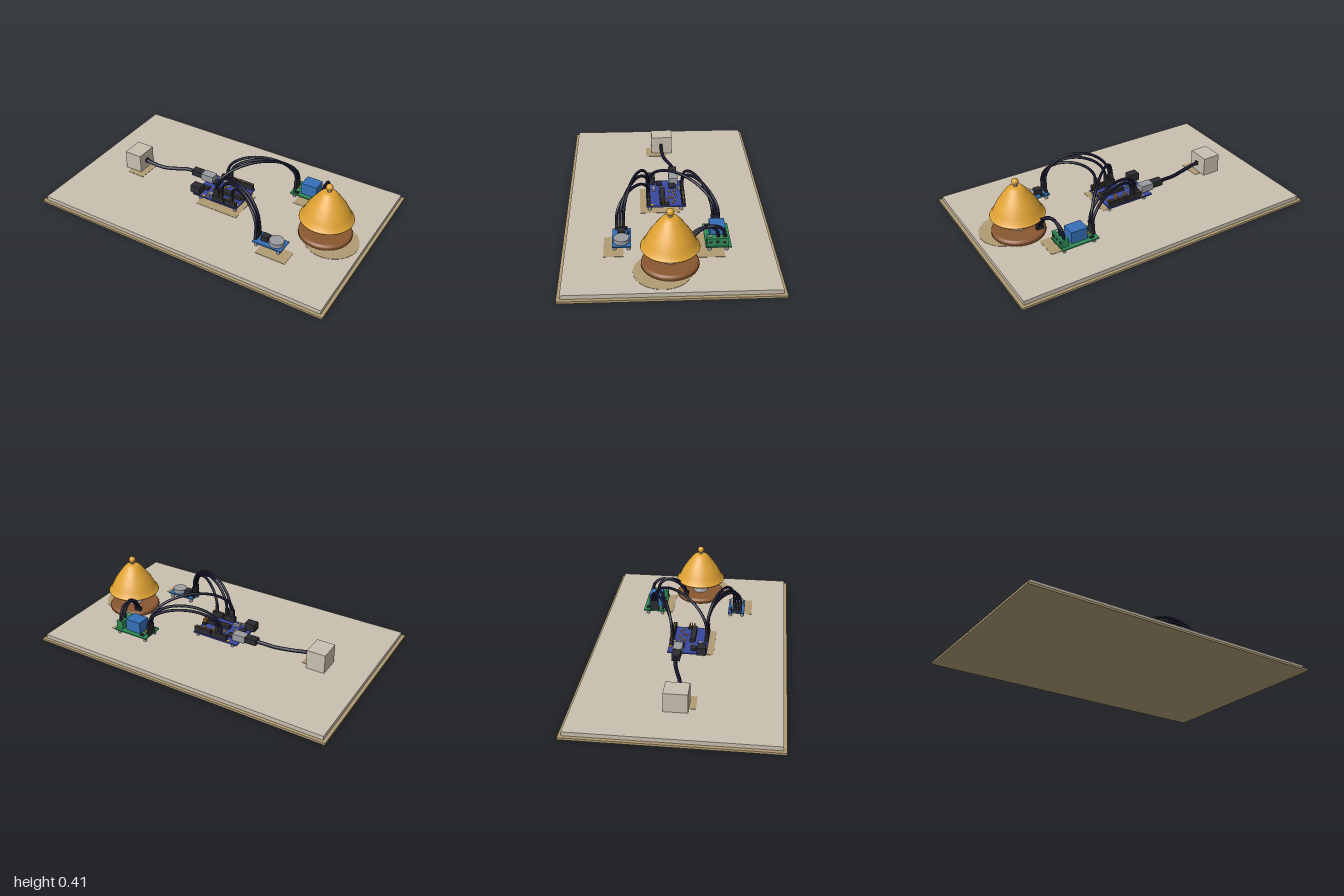
import * as THREE from 'three';

const material = (name, color, side = THREE.FrontSide) => {
  const m = new THREE.MeshStandardMaterial({ color, side });
  m.name = name;
  return m;
};

export function createModel() {
  const model = new THREE.Group();
  const cream = material('cream', 0xc9bfaf);
  const tan = material('tan', 0xb09c74);
  const gold = material('brass', 0xdfa232);
  const wood = material('wood', 0x8a5730);
  const cable = material('cable', 0x15152c);
  const navy = material('navy board', 0x3a479f);
  const blue = material('blue', 0x3470b8);
  const green = material('green', 0x2f8b57);
  const black = material('black', 0x2b2b30);
  const grey = material('metal', 0x9b9ca0);

  const add = (parent, name, geo, mat, x = 0, y = 0, z = 0) => {
    const mesh = new THREE.Mesh(geo, mat);
    mesh.name = name;
    mesh.position.set(x, y, z);
    parent.add(mesh);
    return mesh;
  };
  const group = (name) => {
    const g = new THREE.Group();
    g.name = name;
    model.add(g);
    return g;
  };
  // Box given by its extents on each axis
  const box = (parent, name, mat, x0, x1, y0, y1, z0, z1) =>
    add(parent, name, new THREE.BoxGeometry(x1 - x0, y1 - y0, z1 - z0), mat,
      (x0 + x1) / 2, (y0 + y1) / 2, (z0 + z1) / 2);
  const post = (parent, name, mat, r, y0, y1, x, z, sides = 16) =>
    add(parent, name, new THREE.CylinderGeometry(r, r, y1 - y0, sides), mat, x, (y0 + y1) / 2, z);
  const tube = (parent, name, points, r) => {
    const curve = new THREE.CatmullRomCurve3(points.map((p) => new THREE.Vector3(...p)));
    return add(parent, name, new THREE.TubeGeometry(curve, 40, r, 8), cable);
  };
  const lathe = (parent, name, profile, mat, x, z) =>
    add(parent, name, new THREE.LatheGeometry(profile.map((p) => new THREE.Vector2(...p)), 40), mat, x, 0, z);
  const standoffs = (parent, x0, x1, z0, z1) => {
    for (const x of [x0, x1]) for (const z of [z0, z1]) post(parent, 'standoff', grey, 0.011, 0.04, 0.067, x, z);
  };

  // Stepped base plate
  const base = group('base');
  box(base, 'baseFrame', tan, -1, 1, 0, 0.014, -0.625, 0.625);
  box(base, 'basePlate', cream, -0.98, 0.98, 0.014, 0.04, -0.605, 0.605);

  // Flat mats lying on the plate
  const mats = group('mats');
  for (const [x0, x1, z0, z1] of [
    [-0.7, -0.575, -0.04, 0.107], [-0.115, 0.18, -0.09, 0.16],
    [0.417, 0.665, -0.32, -0.165], [0.44, 0.64, 0.265, 0.38],
  ]) box(mats, 'mat', tan, x0, x1, 0.04, 0.042, z0, z1);
  post(mats, 'roundMat', tan, 0.167, 0.04, 0.042, 0.785, 0.045, 40);

  // Power block with its lead
  const power = group('powerSupply');
  box(power, 'powerBlock', cream, -0.74, -0.62, 0.04, 0.165, -0.077, 0.067);
  box(power, 'leadCollar', black, -0.62, -0.61, 0.09, 0.115, -0.012, 0.012);
  tube(power, 'powerLead', [[-0.62, 0.102, 0], [-0.57, 0.094, 0], [-0.48, 0.083, -0.012],
    [-0.38, 0.09, -0.043], [-0.32, 0.1, -0.057], [-0.26, 0.1, -0.06]], 0.012);
  box(power, 'leadPlug', black, -0.275, -0.195, 0.083, 0.12, -0.087, -0.035);

  // Controller board
  const board = group('controllerBoard');
  box(board, 'controllerPlate', navy, -0.163, 0.157, 0.067, 0.076, -0.128, 0.12);
  standoffs(board, -0.12, 0.14, -0.1, 0.1);
  box(board, 'dataSocket', grey, -0.195, -0.11, 0.076, 0.122, -0.09, -0.032);
  box(board, 'powerJack', black, -0.185, -0.115, 0.076, 0.126, 0.06, 0.115);
  box(board, 'mainChip', black, -0.03, 0.14, 0.076, 0.1, 0, 0.035);
  box(board, 'interfaceChip', black, -0.108, -0.06, 0.076, 0.088, -0.073, -0.028);
  box(board, 'regulator', black, -0.135, -0.095, 0.076, 0.09, 0.015, 0.05);
  box(board, 'crystal', grey, -0.075, -0.025, 0.076, 0.09, 0.062, 0.08);
  box(board, 'button', grey, -0.06, -0.035, 0.076, 0.092, -0.11, -0.085);
  for (const [x0, x1, z] of [[-0.085, 0.025, -0.113], [0.035, 0.15, -0.113], [-0.02, 0.06, 0.106], [0.07, 0.15, 0.106]]) {
    box(board, 'header', black, x0, x1, 0.076, 0.115, z - 0.011, z + 0.011);
    for (let x = x0 + 0.012; x < x1; x += 0.016) box(board, 'headerContact', gold, x - 0.003, x + 0.003, 0.115, 0.117, z - 0.003, z + 0.003);
  }
  box(board, 'programHeader', black, 0.13, 0.157, 0.076, 0.09, -0.025, 0.025);
  for (let i = 0; i < 6; i++)
    box(board, 'programPin', gold, 0.134 + (i % 2) * 0.012, 0.14 + (i % 2) * 0.012, 0.09, 0.115,
      -0.018 + Math.floor(i / 2) * 0.015, -0.012 + Math.floor(i / 2) * 0.015);
  for (const [x, z] of [[-0.03, -0.065], [0, -0.05], [0.03, -0.07], [0.06, -0.045], [0.09, -0.065],
    [0.12, -0.05], [-0.02, -0.03], [0.05, -0.025], [-0.07, 0.02], [-0.06, 0.1]])
    box(board, 'smallPart', gold, x - 0.009, x + 0.009, 0.076, 0.083, z - 0.006, z + 0.006);
  for (const [x, z] of [[-0.095, -0.115], [0.145, 0.085], [-0.09, 0.108]])
    post(board, 'mountRing', gold, 0.01, 0.076, 0.079, x, z);

  // Relay board with screw terminal
  const relay = group('relayBoard');
  box(relay, 'relayPlate', green, 0.367, 0.612, 0.067, 0.075, -0.362, -0.212);
  standoffs(relay, 0.39, 0.59, -0.335, -0.235);
  box(relay, 'relayCube', blue, 0.43, 0.537, 0.075, 0.153, -0.332, -0.242);
  box(relay, 'screwTerminal', green, 0.56, 0.607, 0.075, 0.126, -0.342, -0.218);
  for (const z of [-0.32, -0.28, -0.24]) {
    box(relay, 'terminalOpening', black, 0.606, 0.609, 0.095, 0.11, z - 0.01, z + 0.01);
    post(relay, 'terminalScrew', grey, 0.01, 0.126, 0.129, 0.583, z);
  }
  box(relay, 'relayPins', black, 0.37, 0.388, 0.075, 0.095, -0.32, -0.255);
  box(relay, 'relayChip', black, 0.385, 0.42, 0.075, 0.085, -0.24, -0.225);
  box(relay, 'relayDiode', black, 0.395, 0.42, 0.075, 0.085, -0.345, -0.33);
  box(relay, 'relayLamp', gold, 0.4, 0.415, 0.075, 0.085, -0.3, -0.285);

  // Sensor board with round capsule
  const sensor = group('sensorBoard');
  box(sensor, 'sensorPlate', blue, 0.393, 0.587, 0.065, 0.073, 0.22, 0.33);
  standoffs(sensor, 0.415, 0.565, 0.235, 0.315);
  post(sensor, 'capsule', grey, 0.046, 0.073, 0.1, 0.53, 0.275, 32);
  box(sensor, 'trimmer', black, 0.435, 0.48, 0.073, 0.105, 0.252, 0.297);
  box(sensor, 'sensorPins', black, 0.397, 0.413, 0.073, 0.09, 0.24, 0.31);
  box(sensor, 'sensorChip', black, 0.43, 0.455, 0.073, 0.08, 0.228, 0.242);

  // Jumper wires arching between plugs
  const wires = group('jumperWires');
  const jumper = (a, b, peak) => {
    const start = 0.15;
    const rise = peak - start;
    const points = [[a[0], 0.1, a[1]]];
    for (let i = 0; i <= 10; i++) {
      const t = (1 - Math.cos((i / 10) * Math.PI)) / 2;
      points.push([a[0] + (b[0] - a[0]) * t, start + rise * Math.sin((i / 10) * Math.PI), a[1] + (b[1] - a[1]) * t]);
    }
    points.push([b[0], 0.09, b[1]]);
    tube(wires, 'jumperWire', points, 0.009);
    for (const [x, z, y0] of [[...a, 0.105], [...b, 0.085]])
      box(wires, 'jumperPlug', black, x - 0.009, x + 0.009, y0, y0 + 0.06, z - 0.009, z + 0.009);
  };
  jumper([0.015, 0.106], [0.405, 0.262], 0.335);
  jumper([0.045, 0.106], [0.405, 0.283], 0.305);
  jumper([0.12, 0.106], [0.405, 0.304], 0.275);
  jumper([0.0, 0.106], [0.379, -0.288], 0.32);
  jumper([-0.04, -0.113], [0.379, -0.27], 0.29);
  jumper([-0.015, -0.113], [0.379, -0.306], 0.265);
  // Wires from the relay terminal to the bell
  for (const [x, z, ex] of [[0.583, -0.325, 0.612], [0.583, -0.285, 0.635]])
    tube(wires, 'bellWire', [[x, 0.115, z], [x + 0.003, 0.17, z + 0.01], [x + 0.012, 0.205, z + 0.06],
      [ex - 0.01, 0.185, -0.16], [ex, 0.13, -0.11], [ex, 0.075, -0.09]], 0.01);

  // Bell on a turned wooden foot
  const bell = group('bell');
  lathe(bell, 'woodenFoot', [[0, 0.04], [0.165, 0.04], [0.165, 0.06], [0.163, 0.063], [0.163, 0.063], [0.156, 0.072],
    [0.15, 0.073], [0, 0.073]], wood, 0.72, 0);
  lathe(bell, 'bellStem', [[0.05, 0.073], [0.045, 0.08], [0.026, 0.085], [0.024, 0.14], [0.026, 0.155], [0.05, 0.165],
    [0.05, 0.175], [0, 0.34]], grey, 0.72, 0);
  lathe(bell, 'bellDome', [[0, 0.345], [0.03, 0.345], [0.055, 0.325], [0.085, 0.287], [0.113, 0.245], [0.134, 0.205],
    [0.15, 0.165], [0.165, 0.162], [0.168, 0.168], [0.165, 0.174], [0.156, 0.178], [0.142, 0.208], [0.121, 0.25],
    [0.093, 0.29], [0.062, 0.332], [0.046, 0.349], [0.03, 0.358], [0, 0.36]], gold, 0.72, 0);
  post(bell, 'finialNeck', grey, 0.012, 0.355, 0.372, 0.72, 0);
  add(bell, 'finial', new THREE.SphereGeometry(0.022, 20, 14), gold, 0.72, 0.388, 0);
  for (const x of [0.612, 0.635]) box(bell, 'bellConnector', black, x - 0.011, x + 0.011, 0.07, 0.1, -0.101, -0.079);

  return model;
}
